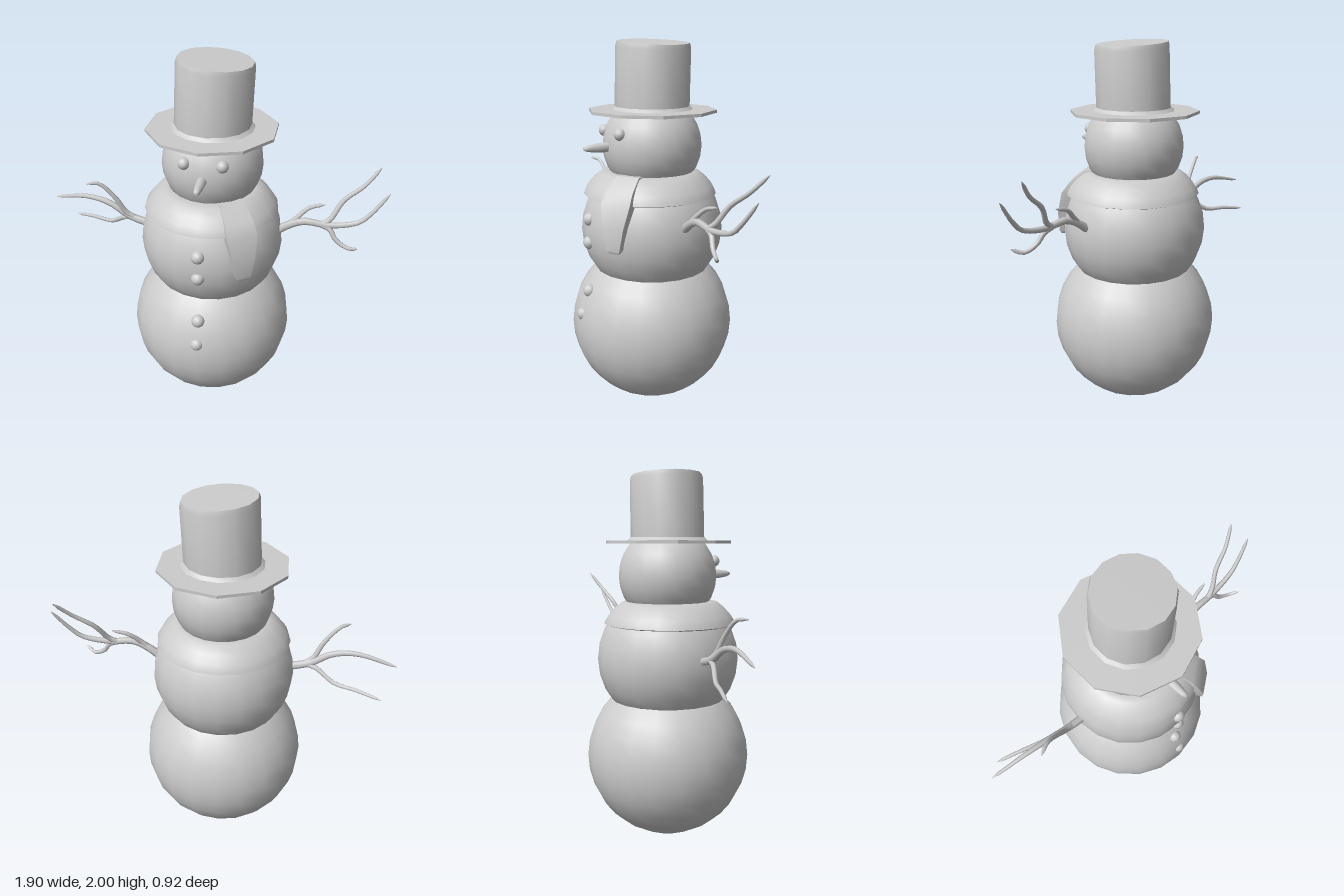
import * as THREE from 'three';
import { toCreasedNormals } from 'three/addons/utils/BufferGeometryUtils.js';

const grey = new THREE.MeshStandardMaterial({ color: 0xcccccc, side: THREE.DoubleSide });

function add(parent, name, geometry, x = 0, y = 0, z = 0) {
  const mesh = new THREE.Mesh(geometry, grey);
  mesh.name = name;
  mesh.position.set(x, y, z);
  parent.add(mesh);
  return mesh;
}

function lathe(points, sides, crease = 0.6) {
  const profile = points.map(([r, y]) => new THREE.Vector2(r, y));
  return toCreasedNormals(new THREE.LatheGeometry(profile, sides), crease);
}

// Tube along a path that thins out from r0 to r1, with a pointed tip
function twig(points, r0, r1) {
  const path = new THREE.CatmullRomCurve3(points.map((p) => new THREE.Vector3(...p)));
  const steps = (points.length - 1) * 3, sides = 6;
  const geometry = new THREE.TubeGeometry(path, steps, 1, sides);
  const pos = geometry.attributes.position, v = new THREE.Vector3();
  for (let i = 0; i <= steps; i++) {
    const centre = path.getPointAt(i / steps);
    const radius = i === steps ? 0.002 : THREE.MathUtils.lerp(r0, r1, i / steps);
    for (let j = 0; j <= sides; j++) {
      const k = i * (sides + 1) + j;
      v.fromBufferAttribute(pos, k).sub(centre).multiplyScalar(radius).add(centre);
      pos.setXYZ(k, v.x, v.y, v.z);
    }
  }
  return geometry;
}

function arm(parent, name, twigs) {
  const group = new THREE.Group();
  group.name = name;
  twigs.forEach((points, i) =>
    add(group, i ? 'twig' : 'branch', twig(points, i ? 0.016 : 0.024, i ? 0.009 : 0.008)));
  parent.add(group);
}

export function createModel() {
  const model = new THREE.Group();
  model.name = 'snowman';

  // Three snowballs, the lowest cut flat where it stands
  const R = 0.46, cy = 0.42;
  add(model, 'lowerBall', new THREE.SphereGeometry(R, 20, 14, 0, Math.PI * 2, 0, Math.acos(-cy / R)), 0, cy, 0);
  add(model, 'base', new THREE.CircleGeometry(Math.sqrt(R * R - cy * cy), 20).rotateX(Math.PI / 2));
  add(model, 'middleBall', new THREE.SphereGeometry(0.395, 20, 14), 0, 0.98, 0);
  add(model, 'head', new THREE.SphereGeometry(0.272, 20, 14), 0.003, 1.44, 0);

  // Buttons down the front
  for (const [y, z] of [[1.06, 0.375], [0.93, 0.38], [0.65, 0.387], [0.52, 0.428]])
    add(model, 'button', new THREE.SphereGeometry(0.037, 12, 8), 0, y, z);

  // Face
  for (const x of [-0.097, 0.1])
    add(model, 'eye', new THREE.SphereGeometry(0.032, 12, 8), x, 1.52, 0.238);
  const nose = lathe([[0.028, 0], [0.024, 0.1], [0.017, 0.15], [0.009, 0.17], [0, 0.173]], 8, 1);
  add(model, 'nose', nose.rotateX(Math.PI / 2), 0, 1.443, 0.23);

  // Scarf: sloping collar and one hanging tail
  const collar = [[0.22, 1.17], [0.345, 1.17], [0.368, 1.178], [0.362, 1.195], [0.345, 1.222],
    [0.312, 1.26], [0.268, 1.294], [0.24, 1.3], [0.2, 1.3]];
  add(model, 'scarfCollar', lathe(collar, 20), 0, 0, 0.012);

  // Rows of the tail: height, distance from the axis, width
  const rows = [[0.925, 0.415, 0.05], [0.945, 0.425, 0.08], [1.06, 0.425, 0.125],
    [1.18, 0.395, 0.17], [1.24, 0.35, 0.155], [1.305, 0.265, 0.135]];
  const tail = new THREE.BoxGeometry(1, rows.length - 1, 1, 1, rows.length - 1, 1);
  const tp = tail.attributes.position;
  for (let i = 0; i < tp.count; i++) {
    const [y, r, w] = rows[Math.round(tp.getY(i) + (rows.length - 1) / 2)];
    tp.setXYZ(i, tp.getX(i) * w, y, r - 0.03 + tp.getZ(i) * 0.06);
  }
  tail.computeVertexNormals();
  add(model, 'scarfTail', tail).rotation.y = 0.6;

  // Hat: ten-sided brim and a crown that leans and slopes to its left
  add(model, 'hatBrim', toCreasedNormals(new THREE.CylinderGeometry(0.35, 0.35, 0.016, 10), 0.3), 0, 1.625, -0.002);
  const crown = new THREE.LatheGeometry([[0.225, 1.63], [0.203, 1.65], [0.2, 1.96], [0.193, 1.983], [0, 1.985]]
    .map(([r, y]) => new THREE.Vector2(r, y)), 14);
  const cp = crown.attributes.position;
  for (let i = 0; i < cp.count; i++) {
    const x = cp.getX(i), y = cp.getY(i);
    cp.setX(i, x + 0.04 * (y - 1.65) + 0.004);
    if (y > 1.9) cp.setY(i, y - 0.075 * x);
  }
  add(model, 'hatCrown', toCreasedNormals(crown, 0.6));

  // Forked stick arms
  arm(model, 'leftArm', [
    [[0.35, 1.03, 0], [0.42, 1.085, 0.005], [0.51, 1.125, 0.01], [0.645, 1.115, 0.01], [0.8, 1.145, 0], [0.86, 1.2, -0.01], [0.945, 1.315, -0.035]],
    [[0.6, 1.115, 0.01], [0.645, 1.14, 0], [0.71, 1.245, -0.045], [0.81, 1.325, -0.08], [0.89, 1.418, -0.13]],
    [[0.6, 1.115, 0.01], [0.65, 1.095, 0.015], [0.69, 1.04, 0.03], [0.755, 1.008, 0.05], [0.808, 1.03, 0.085]],
    [[0.42, 1.085, 0.005], [0.465, 1.13, 0], [0.53, 1.19, -0.025], [0.615, 1.215, -0.037]],
  ]);
  arm(model, 'rightArm', [
    [[-0.35, 1.01, 0.01], [-0.41, 1.02, 0.01], [-0.49, 1.045, 0.005], [-0.6, 1.11, 0], [-0.73, 1.13, -0.015], [-0.95, 1.085, -0.055]],
    [[-0.45, 1.035, 0.008], [-0.52, 1.02, -0.01], [-0.62, 0.957, -0.055], [-0.74, 0.947, -0.1], [-0.875, 0.925, -0.15]],
    [[-0.45, 1.035, 0.008], [-0.5, 1.07, 0.015], [-0.55, 1.16, 0.03], [-0.635, 1.255, 0.05], [-0.695, 1.262, 0.08]],
  ]);

  return model;
}
